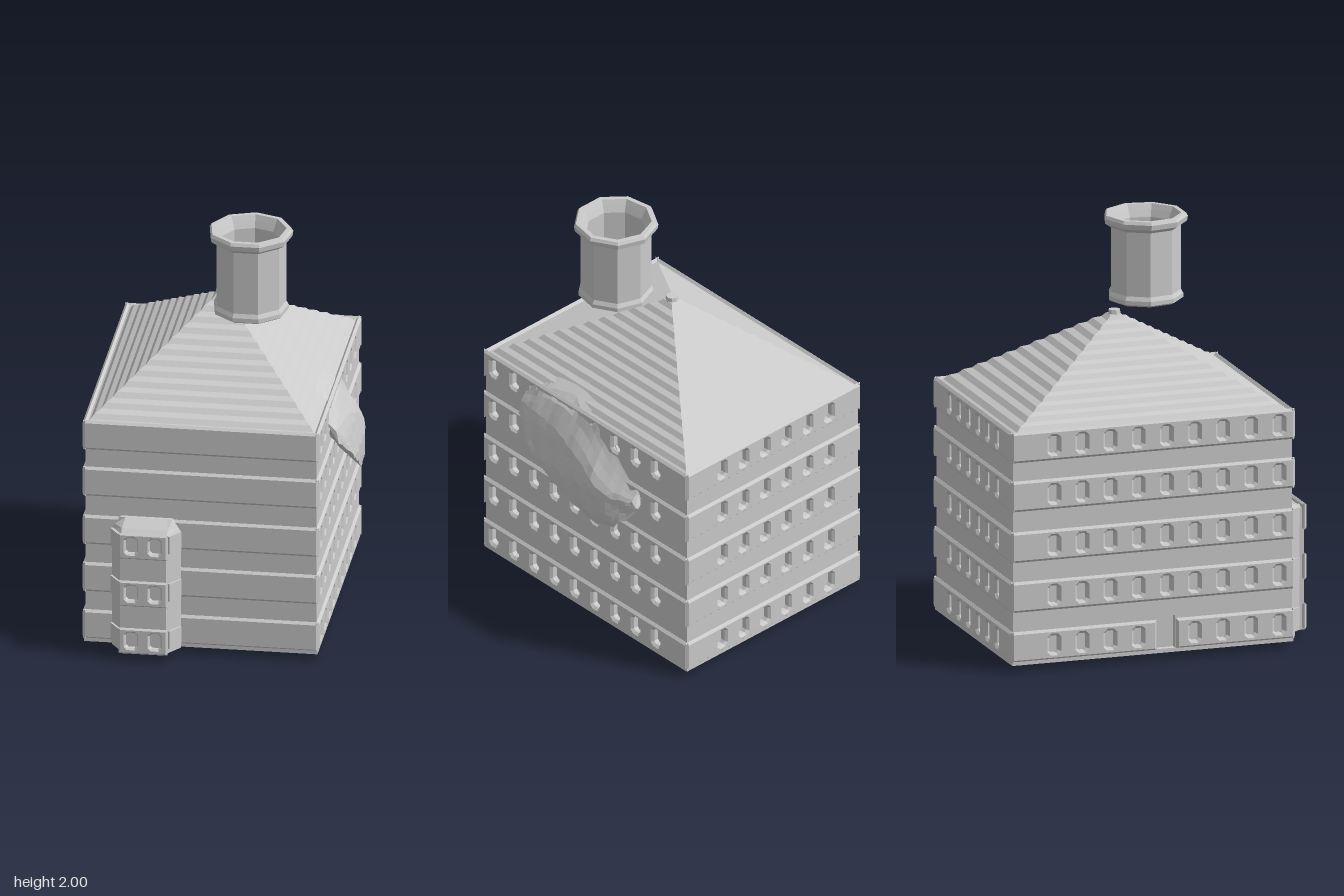
import * as THREE from 'three';

const mat = new THREE.MeshStandardMaterial({ color: 0xcccccc, flatShading: true, side: THREE.DoubleSide });
const CX = -0.055, CZ = -0.0625, W = 1.11, D = 1.405; // house centre and wall sizes
const ROWS = [0.12, 0.365, 0.61, 0.86, 1.1];

function add(parent, name, geo, x = 0, y = 0, z = 0) {
  const m = new THREE.Mesh(geo, mat);
  m.name = name;
  m.position.set(x, y, z);
  parent.add(m);
  return m;
}

// Rectangle with cut corners, used for window openings
function cutRect(x, y, w, h, c, Type = THREE.Path) {
  const a = w / 2, b = h / 2;
  return new Type([[-a + c, -b], [a - c, -b], [a, -b + c], [a, b - c], [a - c, b], [-a + c, b], [-a, b - c], [-a, -b + c]]
    .map(([u, v]) => new THREE.Vector2(x + u, y + v)));
}

function rect(x0, x1, y0, y1, Type = THREE.Shape) {
  return new Type([[x0, y0], [x1, y0], [x1, y1], [x0, y1]].map(p => new THREE.Vector2(...p)));
}

// Surface through rings of equal point count
function loft(rings, closed = true, caps = true) {
  const n = rings[0].length, pos = rings.flat(2), idx = [];
  for (let i = 0; i < rings.length - 1; i++) {
    for (let j = 0; j < (closed ? n : n - 1); j++) {
      const a = i * n + j, b = i * n + (j + 1) % n;
      idx.push(a, b, b + n, a, b + n, a + n);
    }
  }
  if (caps) {
    const t = (rings.length - 1) * n;
    for (let j = 1; j < n - 1; j++) idx.push(0, j + 1, j, t, t + j, t + j + 1);
  }
  const g = new THREE.BufferGeometry();
  g.setAttribute('position', new THREE.Float32BufferAttribute(pos, 3));
  g.setIndex(idx);
  g.computeVertexNormals();
  return g;
}

// Wall panel with recessed windows and a swelling band along each floor
function wall(name, width, cols, door) {
  const g = new THREE.Group(), h = width / 2;
  g.name = name;
  const isDoor = (c, row) => door !== undefined && row === 0 && Math.abs(c - door) < 0.07;
  const panel = rect(-h, h, 0.035, 1.155);
  ROWS.forEach((y, r) => cols.forEach(c => {
    if (!isDoor(c, r)) panel.holes.push(cutRect(c, y, 0.05, 0.09, 0.012));
  }));
  if (door !== undefined) panel.holes.push(rect(door - 0.045, door + 0.045, 0.045, 0.21, THREE.Path));
  add(g, 'wallPanel', new THREE.ExtrudeGeometry(panel, { depth: 0.025, bevelEnabled: false }), 0, 0, -0.025);
  ROWS.forEach((y, r) => {
    const spans = door !== undefined && r === 0 ? [[-h, door - 0.06], [door + 0.06, h]] : [[-h, h]];
    for (const [a, b] of spans) {
      const s = rect(a, b, y - 0.064, y + 0.062);
      cols.filter(c => c > a && c < b && !isDoor(c, r))
        .forEach(c => s.holes.push(cutRect(c, y, 0.07, 0.108, 0.018)));
      add(g, 'floorBand', new THREE.ExtrudeGeometry(s,
        { depth: 0.001, bevelThickness: 0.012, bevelSize: 0.012, bevelSegments: 1 }));
    }
  });
  return g;
}

// Piecewise linear lookup in [key, value] pairs with rising keys
function lerpTable(t, k) {
  if (k <= t[0][0]) return t[0][1];
  for (let i = 1; i < t.length; i++) {
    if (k <= t[i][0]) {
      return THREE.MathUtils.mapLinear(k, t[i - 1][0], t[i][0], t[i - 1][1], t[i][1]);
    }
  }
  return t[t.length - 1][1];
}

// Terraced pyramid roof
function roofGeometry() {
  const rings = [], steps = 12, y0 = 1.155, rise = 0.41;
  const ring = (t, y) => {
    const a = (W / 2 + 0.006) * (1 - t) + 0.028 * t, b = (D / 2 + 0.006) * (1 - t) + 0.028 * t;
    return [[CX - a, y, CZ + b], [CX + a, y, CZ + b], [CX + a, y, CZ - b], [CX - a, y, CZ - b]];
  };
  for (let i = 0; i < steps; i++) {
    rings.push(ring(i / steps, y0 + rise * i / steps));
    rings.push(ring((i + 0.6) / steps, y0 + rise * (i + 0.35) / steps));
  }
  rings.push(ring(1, y0 + rise));
  return loft(rings);
}

// Lumpy overhang spilling from the roof down the side wall
function overhangGeometry() {
  const top = [[-0.44, 0.82], [-0.4, 0.92], [-0.3, 1.02], [-0.2, 1.14], [-0.1, 1.24], [0.05, 1.3], [0.2, 1.25], [0.34, 1.12]];
  const low = [[-0.44, 0.8], [-0.4, 0.75], [-0.32, 0.67], [-0.22, 0.65], [0, 0.74], [0.2, 0.87], [0.34, 1.0]];
  const fat = [[-0.44, 0.05], [-0.4, 0.3], [-0.3, 0.75], [-0.2, 0.95], [0, 1], [0.25, 1], [0.34, 0.75]];
  const outer = [[0.65, 0.595], [0.72, 0.618], [0.85, 0.622], [1.0, 0.59], [1.17, 0.53], [1.31, 0.31]];
  const roof = [[1.15, 0.5], [1.56, -0.03]];
  const rings = [], n = 26, m = 10;
  for (let i = 0; i <= n; i++) {
    const z = -0.44 + 0.78 * i / n, yt = lerpTable(top, z);
    const yb = lerpTable(low, z) + 0.008 * Math.sin(i * 2.6), ring = [];
    for (let j = 0; j <= m; j++) {
      const u = j / m, y = yt + (yb - yt) * u, base = lerpTable(roof, y) - 0.01;
      const swell = lerpTable(fat, z) * Math.min(1, u * 2.2) + 0.03 * Math.sin(i * 1.3 + j) * u;
      ring.push([base + (lerpTable(outer, y) - base) * swell, y, z]);
    }
    ring.push([0.53, Math.min(yt, yb + 0.08), z], [0.485, Math.min(yt, yb + 0.12), z]);
    rings.push(ring);
  }
  return loft(rings);
}

// Projecting bay with slanted sides and two columns of windows
function bay() {
  const g = new THREE.Group(), cx = -0.315;
  g.name = 'frontBay';
  const ring = (y, a, b, z) => [[cx - a, y, 0.6], [cx - a, y, 0.66], [cx - b, y, z], [cx + b, y, z], [cx + a, y, 0.66], [cx + a, y, 0.6]];
  add(g, 'bayBody', loft([
    ring(0, 0.1, 0.09, 0.68), ring(0.03, 0.165, 0.11, 0.74), ring(0.63, 0.165, 0.11, 0.74),
    ring(0.655, 0.15, 0.11, 0.71), ring(0.69, 0.125, 0.1, 0.655)]));
  const face = rect(cx - 0.11, cx + 0.11, 0.03, 0.63);
  for (const y of ROWS.slice(0, 3)) {
    for (const s of [-1, 1]) face.holes.push(cutRect(cx + s * 0.057, y - 0.02, 0.055, 0.085, 0.012));
    const lintel = rect(cx - 0.11, cx + 0.11, y - 0.08, y + 0.035);
    for (const s of [-1, 1]) lintel.holes.push(cutRect(cx + s * 0.057, y - 0.02, 0.07, 0.095, 0.016));
    add(g, 'bayBand', new THREE.ExtrudeGeometry(lintel,
      { depth: 0.001, bevelThickness: 0.01, bevelSize: 0.008, bevelSegments: 1 }), 0, 0, 0.764);
    // Side swellings at each floor
    for (const s of [-1, 1]) {
      const side = add(g, 'baySideBand', new THREE.BoxGeometry(0.016, 0.09, 0.085), cx + s * 0.14, y - 0.02, 0.7);
      side.rotation.y = -s * 0.6;
    }
  }
  add(g, 'bayFace', new THREE.ExtrudeGeometry(face, { depth: 0.024, bevelEnabled: false }), 0, 0, 0.74);
  return g;
}

export function createModel() {
  const model = new THREE.Group();
  model.name = 'house';

  add(model, 'core', new THREE.BoxGeometry(W - 0.05, 1.11, D - 0.05), CX, 0.595, CZ);
  add(model, 'plinth', new THREE.BoxGeometry(W + 0.01, 0.02, D + 0.01), CX, 0.04, CZ);

  // Four walls
  const sideCols = Array.from({ length: 9 }, (_, i) => (i - 4) * 0.1415);
  const zShift = 0.005 - CZ;
  const backCols = Array.from({ length: 6 }, (_, i) => 0.415 + CX - i * 0.1385);
  const walls = [
    ['frontWall', W, [], undefined, 0, CX, CZ + D / 2],
    ['backWall', W, backCols.map(c => -(c - 0.08 - CX)), undefined, Math.PI, CX, CZ - D / 2],
    ['leftWall', D, sideCols.map(c => c - zShift), undefined, Math.PI / 2, CX + W / 2, CZ],
    ['rightWall', D, sideCols.map(c => c + zShift), zShift, -Math.PI / 2, CX - W / 2, CZ],
  ];
  for (const [name, width, cols, door, turn, x, z] of walls) {
    const w = wall(name, width, cols, door);
    w.rotation.y = turn;
    w.position.set(x, 0, z);
    model.add(w);
  }

  // Roof and its tip
  add(model, 'roof', roofGeometry());
  add(model, 'roofTip', new THREE.CylinderGeometry(0.028, 0.034, 0.04, 8), CX, 1.565, CZ);
  add(model, 'overhang', overhangGeometry());
  model.add(bay());

  // Hollow chimney floating above the roof
  const profile = [[0, 1.575], [0.165, 1.575], [0.182, 1.585], [0.182, 1.605], [0.171, 1.625], [0.171, 1.94],
    [0.2, 1.96], [0.204, 1.985], [0.195, 2], [0.172, 2], [0.16, 1.975], [0.145, 1.94], [0.145, 1.6], [0, 1.6]];
  add(model, 'chimney', new THREE.LatheGeometry(profile.map(p => new THREE.Vector2(...p)), 9, Math.PI), 0.112, 0, 0.15);
  return model;
}
